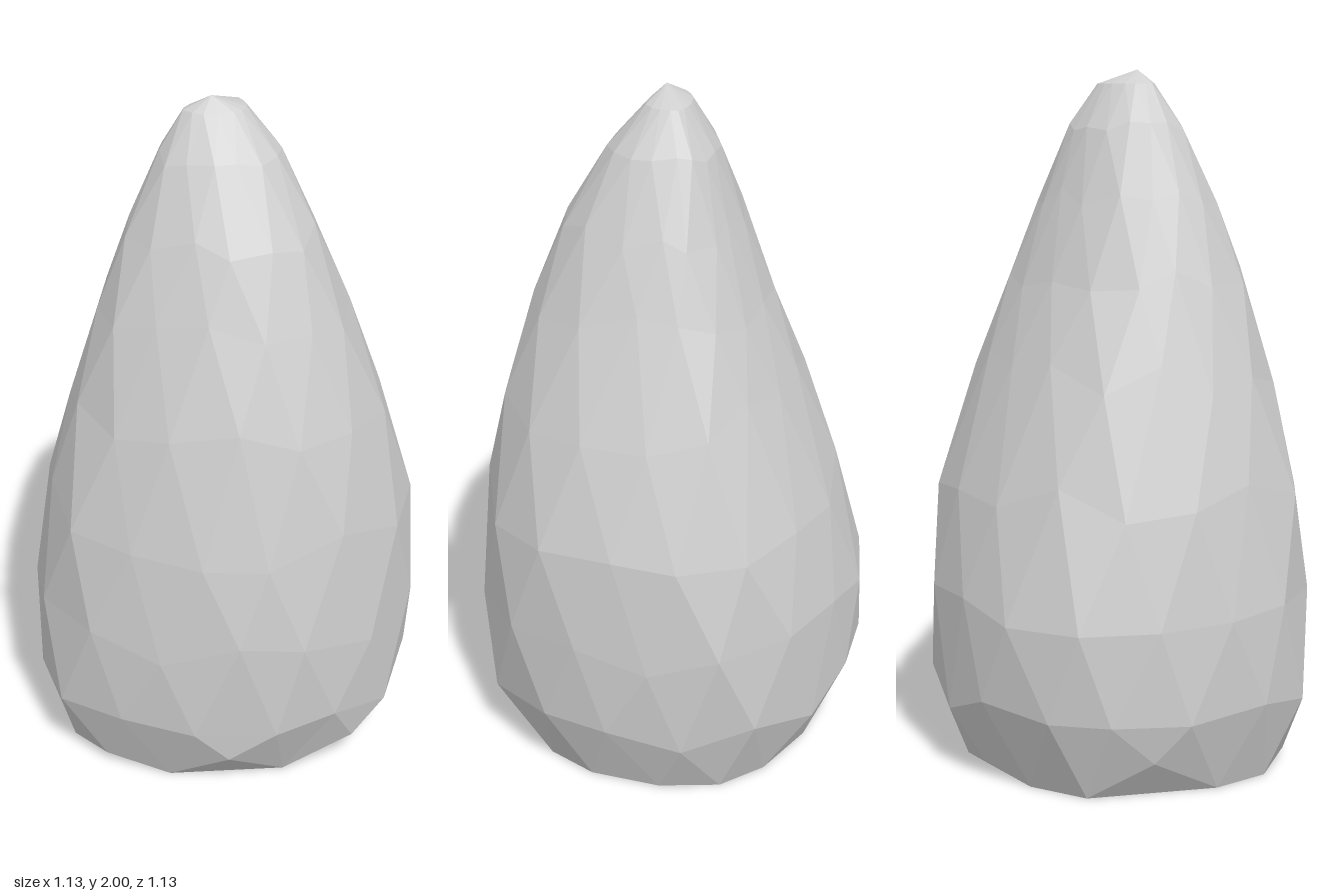
import * as THREE from 'three';

// Plan outline of the widest part (x, z), in order of angle
const OUTLINE = [
  [0.565, -0.05], [0.55, 0.14], [0.51, 0.3], [0.41, 0.44], [0.295, 0.525], [0.14, 0.565],
  [-0.04, 0.565], [-0.18, 0.53], [-0.3, 0.46], [-0.42, 0.35], [-0.49, 0.25], [-0.57, 0.12],
  [-0.57, -0.03], [-0.54, -0.14], [-0.47, -0.305], [-0.35, -0.44], [-0.22, -0.555],
  [-0.03, -0.57], [0.15, -0.53], [0.3, -0.46], [0.46, -0.35], [0.54, -0.22],
];

// Side profiles: height, reach to -x, +x, -z, +z
const PROFILE = [
  [0, 0.495, 0.465, 0.46, 0.44],
  [0.1, 0.54, 0.515, 0.525, 0.52],
  [0.19, 0.57, 0.545, 0.565, 0.55],
  [0.5, 0.57, 0.565, 0.565, 0.57],
  [0.82, 0.525, 0.545, 0.485, 0.545],
  [1.15, 0.445, 0.44, 0.365, 0.48],
  [1.42, 0.36, 0.335, 0.265, 0.39],
  [1.65, 0.275, 0.245, 0.185, 0.3],
  [1.84, 0.185, 0.16, 0.12, 0.185],
  [1.96, 0.11, 0.07, 0.045, 0.08],
];

// Rings of corners: mean height and unevenness
const RINGS = [
  [0, 0], [0.21, 0.08], [0.5, 0.1], [0.82, 0.1], [1.15, 0.1],
  [1.42, 0.08], [1.65, 0.06], [1.84, 0.03], [1.96, 0],
];
const SIDES = 16;

// Chipped corners of the foot: side number and height
const CHIPS = { 3: 0.1, 5: 0.13, 7: 0.03, 10: 0.11, 13: 0.03 };

// Point where a ray at the given angle meets the outline
function outlineAt(angle) {
  const dx = Math.cos(angle), dz = Math.sin(angle);
  for (let i = 0; i < OUTLINE.length; i++) {
    const [ax, az] = OUTLINE[i], [bx, bz] = OUTLINE[(i + 1) % OUTLINE.length];
    const ca = dx * az - dz * ax, cb = dx * bz - dz * bx;
    if (ca <= 0 && cb > 0 && dx * ax + dz * az > 0) {
      const t = ca / (ca - cb);
      return [ax + (bx - ax) * t, az + (bz - az) * t];
    }
  }
}

// Reaches of the four sides at a height
function profileAt(y) {
  let k = 0;
  while (k < PROFILE.length - 2 && PROFILE[k + 1][0] < y) k++;
  const low = PROFILE[k], high = PROFILE[k + 1];
  const t = (y - low[0]) / (high[0] - low[0]);
  return low.map((v, n) => v + (high[n] - v) * t);
}

function seeded(seed) {
  return () => (seed = (seed * 16807) % 2147483647) / 2147483647;
}

function rockGeometry() {
  const random = seeded(4127);
  const positions = [], index = [];

  // Staggered, uneven rings that follow the side profiles
  RINGS.forEach(([height, uneven], r) => {
    for (let i = 0; i < SIDES; i++) {
      const turn = i + (r % 2) / 2 + (random() - 0.5) * 0.25;
      const [ox, oz] = outlineAt((turn / SIDES) * Math.PI * 2);
      const y = r === 0 ? CHIPS[i] ?? 0 : height + (random() - 0.5) * uneven;
      const [, left, right, back, front] = profileAt(y);
      positions.push(
        (ox / 0.567) * (ox > 0 ? right : left), y, (oz / 0.567) * (oz > 0 ? front : back));
    }
  });
  const tip = positions.length / 3;
  positions.push(-0.04, 2, 0.03);
  const base = tip + 1;
  positions.push(0, 0, 0);

  // Diamond facets between neighbouring rings
  for (let r = 0; r < RINGS.length - 1; r++) {
    for (let i = 0; i < SIDES; i++) {
      const j = (i + 1) % SIDES;
      const a = r * SIDES + i, b = r * SIDES + j;
      const c = a + SIDES, d = b + SIDES;
      if (r % 2 === 0) index.push(a, c, b, b, c, d);
      else index.push(a, d, b, a, c, d);
    }
  }

  // Close the tip; the base is flat, with a sloping face under each chip
  const top = (RINGS.length - 1) * SIDES;
  const flat = [];
  for (let i = 0; i < SIDES; i++) {
    const j = (i + 1) % SIDES;
    index.push(top + i, tip, top + j);
    if (CHIPS[i]) index.push((i + SIDES - 1) % SIDES, i, j);
    else flat.push(i);
  }
  flat.forEach((corner, n) => index.push(corner, flat[(n + 1) % flat.length], base));

  const indexed = new THREE.BufferGeometry();
  indexed.setAttribute('position', new THREE.Float32BufferAttribute(positions, 3));
  indexed.setIndex(index);
  const geometry = indexed.toNonIndexed();
  geometry.computeVertexNormals();
  return geometry;
}

export function createModel() {
  const group = new THREE.Group();
  group.name = 'standingRock';
  const stone = new THREE.MeshStandardMaterial({ color: 0xcfcfcf, flatShading: true });
  stone.name = 'pale grey stone';
  const rock = new THREE.Mesh(rockGeometry(), stone);
  rock.name = 'rock';
  group.add(rock);
  return group;
}
